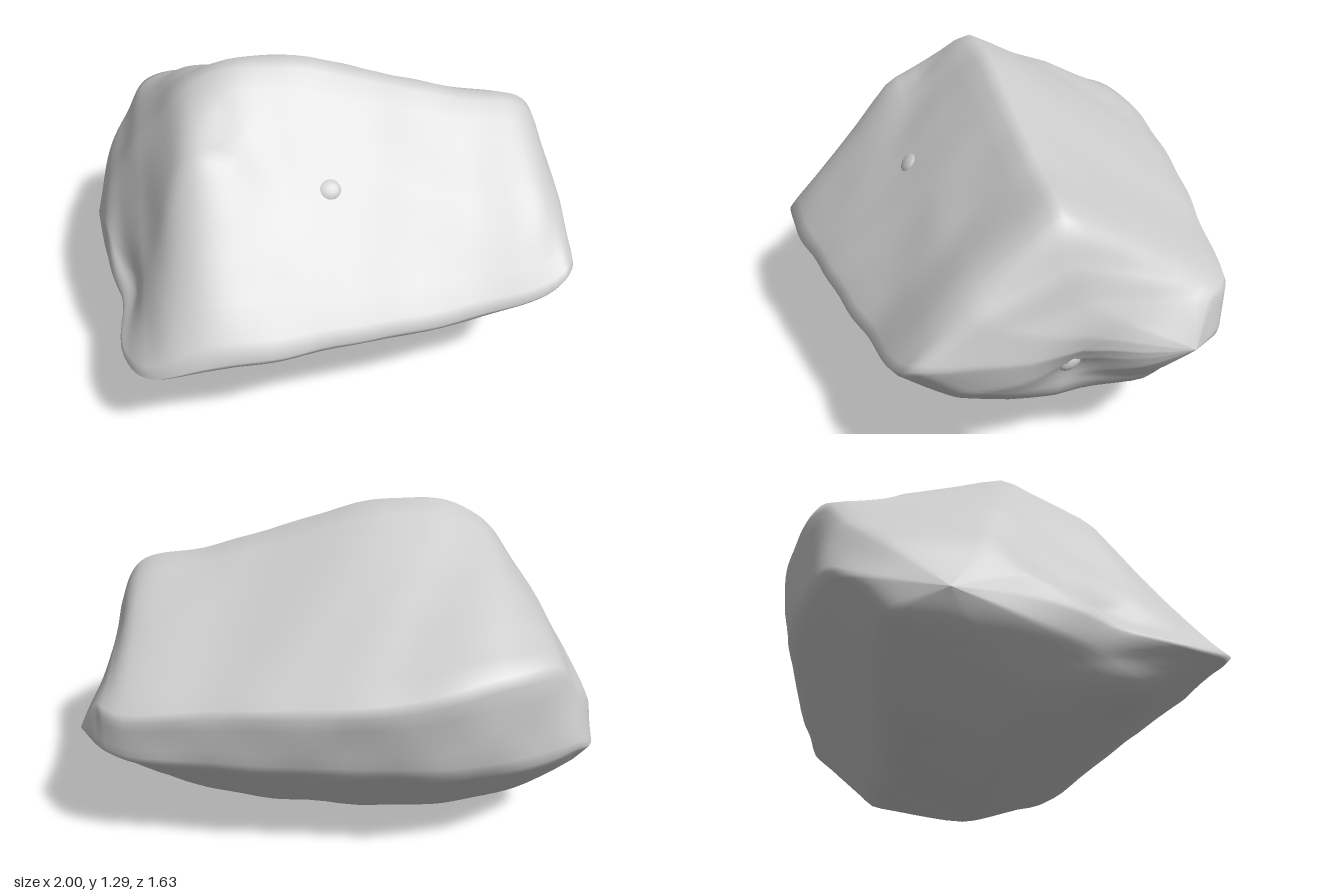
import * as THREE from 'three';

// Stations along x, and the rails that run lengthwise as [z, y] at each station
const stations = [-0.95, -0.87, -0.77, -0.56, -0.2, 0.45, 0.79, 0.87, 0.91];
const leftTip = new THREE.Vector3(-1, 0.46, -0.27);
const rightTip = new THREE.Vector3(1, 0.53, -0.45);

const ridge = [[-0.15, 0.64], [-0.1, 0.78], [-0.05, 0.95], [0, 1.23], [0, 1.31], [0, 1.12], [0, 1.05], [-0.02, 0.88], [-0.08, 0.73]];
const frontSlope = [[0, 0.56], [0.24, 0.52], [0.4, 0.63], [0.34, 1.05], [0.36, 0.93], [0.33, 0.82], [0.33, 0.8], [0.32, 0.74], [0.22, 0.68]];
const frontEdge = [[0.05, 0.47], [0.62, 0.38], [0.8, 0.41], [0.83, 0.46], [0.8, 0.47], [0.66, 0.45], [0.61, 0.5], [0.56, 0.55], [0.45, 0.56]];
const frontUnder = [[0, 0.39], [0.3, 0.32], [0.47, 0.25], [0.48, 0.22], [0.42, 0.18], [0.38, 0.21], [0.38, 0.35], [0.38, 0.41], [0.28, 0.44]];
const keel = [[-0.2, 0.36], [-0.1, 0.28], [0, 0.2], [0, 0.09], [0, -0.01], [0, 0.11], [0, 0.26], [0, 0.32], [-0.05, 0.37]];
const backUnder = [[-0.45, 0.38], [-0.48, 0.33], [-0.47, 0.26], [-0.42, 0.14], [-0.4, 0.1], [-0.38, 0.17], [-0.33, 0.29], [-0.32, 0.34], [-0.33, 0.39]];
const backLow = [[-0.58, 0.5], [-0.68, 0.54], [-0.73, 0.52], [-0.77, 0.5], [-0.76, 0.48], [-0.68, 0.48], [-0.63, 0.49], [-0.6, 0.51], [-0.57, 0.52]];
const backEdge = [[-0.48, 0.63], [-0.61, 0.76], [-0.69, 0.89], [-0.78, 0.89], [-0.82, 0.81], [-0.72, 0.74], [-0.65, 0.69], [-0.59, 0.69], [-0.53, 0.68]];

const rails = [ridge, frontSlope, frontEdge, frontUnder, keel, backUnder, backLow, backEdge].map((rail) =>
  new THREE.CatmullRomCurve3(
    [leftTip, ...rail.map(([z, y], i) => new THREE.Vector3(stations[i], y, z)), rightTip], false, 'centripetal'));

// Points around one cross-section: straight facets with softened corners
function ringAt(t) {
  const corners = rails.map((rail) => rail.getPoint(t));
  const n = corners.length, ring = [];
  corners.forEach((c, i) => {
    const prev = corners[(i + n - 1) % n], next = corners[(i + 1) % n];
    const soft = c.clone().lerp(prev, 0.12).add(c.clone().lerp(next, 0.12)).multiplyScalar(0.5);
    ring.push(c.clone().lerp(soft, 0.35));
    for (const s of [0.12, 0.3, 0.5, 0.7, 0.88]) ring.push(c.clone().lerp(next, s));
  });
  return ring;
}

// Local swellings (+) and hollows (-): x, y, z, radius, height
const bumps = [
  [0.7, 0.68, 0.42, 0.12, 0.025],
  [-0.45, 1.12, 0.22, 0.07, -0.025],
  [-0.87, 0.45, 0.36, 0.14, -0.05],
  [-0.65, 1.05, -0.35, 0.2, 0.02],
  [0.93, 0.45, -0.06, 0.16, -0.09],
  [0.6, 0.3, -0.4, 0.15, 0.015],
].map(([x, y, z, radius, height]) => ({ centre: new THREE.Vector3(x, y, z), radius, height }));

// Gentle weathering of the surface
const core = new THREE.Vector3(0, 0.58, 0);
function weather(p) {
  let lift = 0.006 * Math.sin(9 * p.x + 4 * p.y) * Math.sin(8 * p.z - 5 * p.y + 1)
    + 0.004 * Math.sin(19 * p.x - 7 * p.z) * Math.cos(17 * p.y + 6 * p.z);
  for (const { centre, radius, height } of bumps) {
    lift += height * Math.exp(-p.distanceToSquared(centre) / (radius * radius));
  }
  return p.addScaledVector(p.clone().sub(core).normalize(), lift);
}

function stoneGeometry(steps = 100) {
  const positions = [], index = [];
  let count = 0;
  for (let i = 0; i <= steps; i++) {
    const ring = ringAt(i / steps);
    count = ring.length;
    for (const p of ring) positions.push(...weather(p).toArray());
  }
  for (let i = 0; i < steps; i++) {
    for (let j = 0; j < count; j++) {
      const k = (j + 1) % count;
      const a = i * count + j, b = a + count, c = i * count + k, d = c + count;
      index.push(a, c, b, b, c, d);
    }
  }
  const geometry = new THREE.BufferGeometry();
  geometry.setAttribute('position', new THREE.Float32BufferAttribute(positions, 3));
  geometry.setIndex(index);
  geometry.computeVertexNormals();
  return geometry;
}

export function createModel() {
  const group = new THREE.Group();
  group.name = 'boulder';
  const material = new THREE.MeshStandardMaterial({ color: 0xcccccc });

  const add = (name, geometry) => {
    const mesh = new THREE.Mesh(geometry, material);
    mesh.name = name;
    group.add(mesh);
    return mesh;
  };

  add('stone', stoneGeometry());

  // Small knobs on the right end and the front slope
  const endKnob = add('endKnob', new THREE.SphereGeometry(1, 14, 10));
  endKnob.scale.set(0.04, 0.04, 0.055);
  endKnob.position.set(0.85, 0.48, -0.02);
  endKnob.rotation.x = 0.5;

  const frontKnob = add('frontKnob', new THREE.SphereGeometry(1, 14, 10));
  frontKnob.scale.set(0.05, 0.045, 0.02);
  frontKnob.position.set(-0.06, 0.89, 0.352);
  frontKnob.rotation.x = -0.75;

  return group;
}
